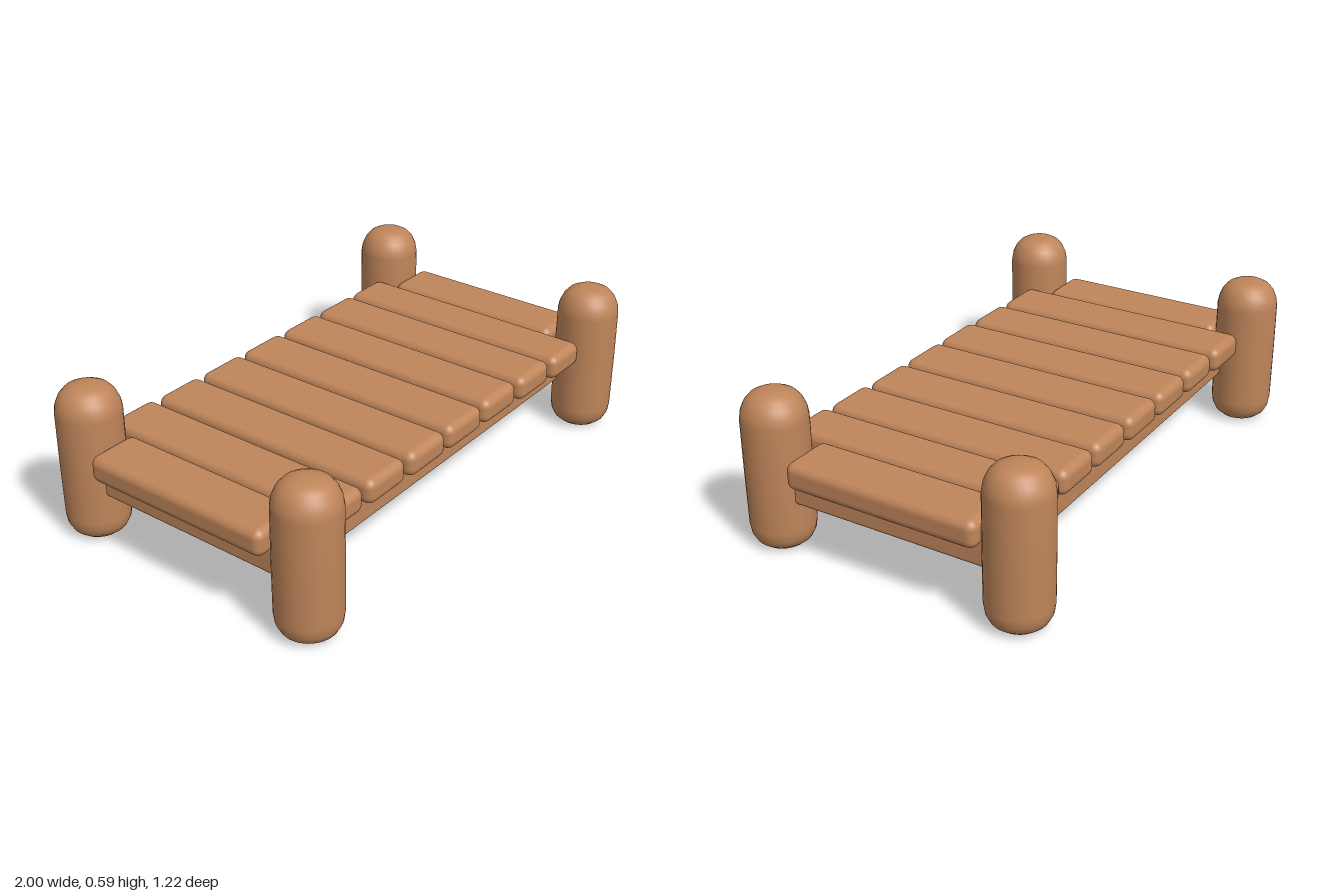
import * as THREE from 'three';
import { RoundedBoxGeometry } from 'three/addons/geometries/RoundedBoxGeometry.js';

export function createModel() {
  const group = new THREE.Group();
  const wood = new THREE.MeshStandardMaterial({ color: 0xbf855a });
  wood.name = 'warm brown wood';

  function add(name, geometry, x, y, z) {
    const mesh = new THREE.Mesh(geometry, wood);
    mesh.name = name;
    mesh.position.set(x, y, z);
    group.add(mesh);
    return mesh;
  }

  // Rounded block given by its extents on each axis
  function block(name, [x0, x1], [y0, y1], [z0, z1], radius) {
    const geometry = new RoundedBoxGeometry(x1 - x0, y1 - y0, z1 - z0, 4, radius);
    return add(name, geometry, (x0 + x1) / 2, (y0 + y1) / 2, (z0 + z1) / 2);
  }

  // Corner posts: round logs with domed top and softened foot
  const profile = [
    [0, 0.003], [0.055, 0.004], [0.078, 0.01], [0.1, 0.028], [0.114, 0.055], [0.119, 0.09],
    [0.12, 0.3],
    [0.119, 0.495], [0.114, 0.525], [0.101, 0.555], [0.082, 0.577], [0.055, 0.591], [0.028, 0.595], [0, 0.596],
  ].map(([r, y]) => new THREE.Vector2(r, y));
  const postGeometry = new THREE.LatheGeometry(profile, 32);
  for (const x of [-0.88, 0.88]) {
    for (const z of [-0.49, 0.49]) {
      add(`${z > 0 ? 'front' : 'back'}${x > 0 ? 'Left' : 'Right'}Post`, postGeometry, x, 0, z);
    }
  }

  // Base slab below the planks
  block('baseSlab', [-0.93, 0.93], [0.2, 0.305], [-0.43, 0.43], 0.015);

  // Cross planks, each shifted a little further forward
  const planks = [
    [-0.78, -0.57, -0.505, 0.483], [-0.55, -0.342, -0.495, 0.49], [-0.325, -0.112, -0.49, 0.497],
    [-0.095, 0.12, -0.487, 0.498], [0.138, 0.35, -0.481, 0.5], [0.365, 0.573, -0.478, 0.51],
    [0.585, 0.78, -0.475, 0.522],
  ];
  planks.forEach(([x0, x1, z0, z1], i) => {
    block(`plank${i + 1}`, [x0, x1], [0.303, 0.4], [z0, z1], 0.033);
  });

  // Short end planks between the posts
  block('rightEndPlank', [-0.995, -0.787], [0.295, 0.397], [-0.385, 0.385], 0.033);
  block('leftEndPlank', [0.785, 0.993], [0.293, 0.397], [-0.39, 0.37], 0.033);

  return group;
}
